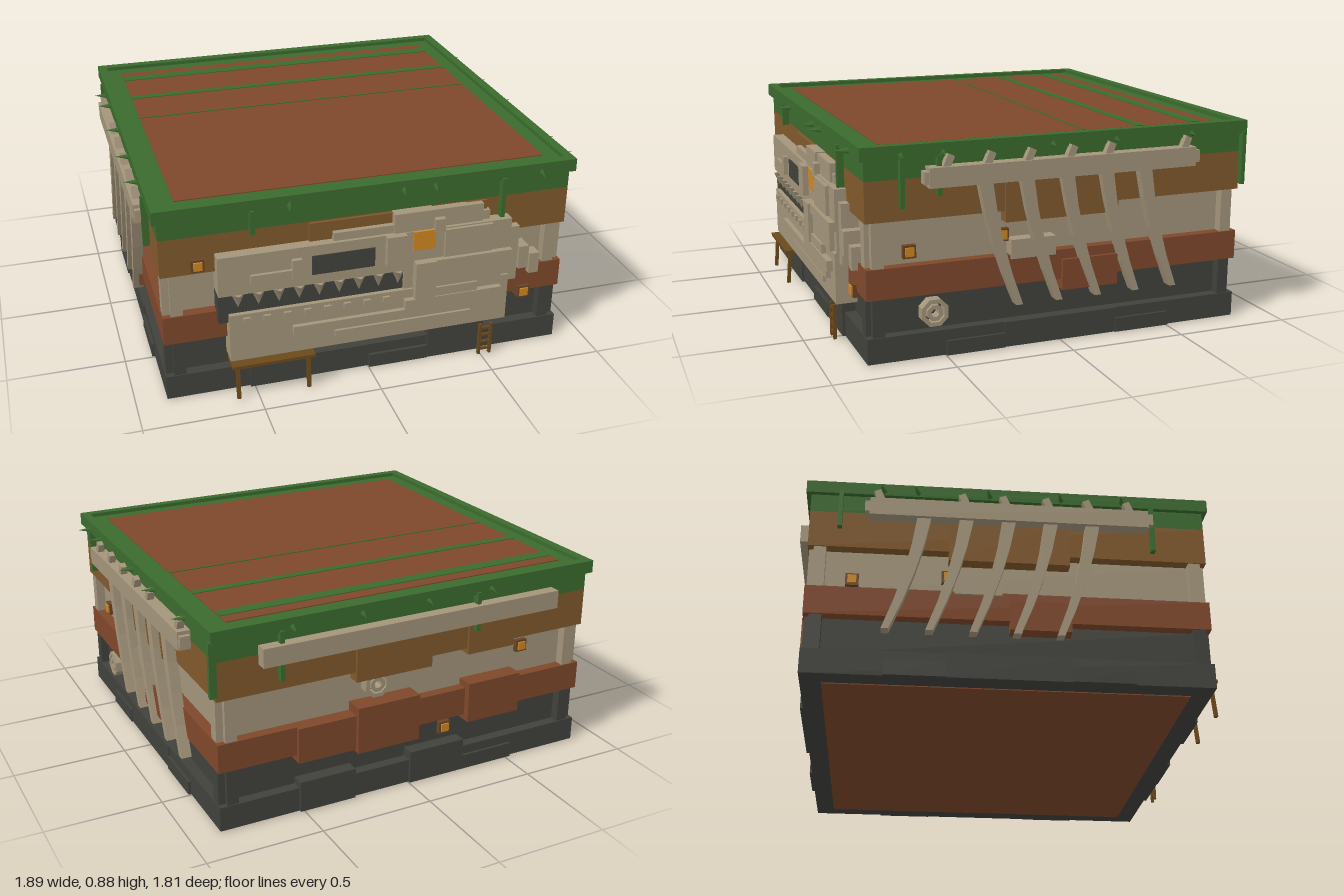
import * as THREE from 'three';

const mat = (name, color) => {
  const m = new THREE.MeshStandardMaterial({ color });
  m.name = name;
  return m;
};

export function createModel() {
  const root = new THREE.Group();
  root.name = 'terrainBlock';
  const grass = mat('grass green', 0x3b6b2e), clay = mat('clay rust', 0x7f482b),
    soil = mat('soil ochre', 0x80592c), bone = mat('bone tan', 0xa3957b),
    rock = mat('bedrock grey', 0x41413c), amber = mat('amber', 0xd0871f),
    wood = mat('wood brown', 0x6b4a1c), rim = mat('amber setting', 0x6a4526);

  const add = (parent, name, geo, m) => {
    const mesh = new THREE.Mesh(geo, m);
    mesh.name = name;
    parent.add(mesh);
    return mesh;
  };
  // Box given by its lower and upper limits on each axis
  const box = (name, m, x0, x1, y0, y1, z0, z1, parent = root) => {
    const b = add(parent, name, new THREE.BoxGeometry(x1 - x0, y1 - y0, z1 - z0), m);
    b.position.set((x0 + x1) / 2, (y0 + y1) / 2, (z0 + z1) / 2);
    return b;
  };
  const slab = (name, m, hx, hz, y0, y1) => box(name, m, -hx, hx, y0, y1, -hz, hz);
  // Groups whose local +z points out of one side of the block
  const side = (name, angle) => {
    const g = new THREE.Group();
    g.name = name;
    g.rotation.y = angle;
    root.add(g);
    return g;
  };
  const front = side('frontSide', 0), back = side('backSide', Math.PI);
  const left = side('leftSide', Math.PI / 2), right = side('rightSide', -Math.PI / 2);

  // Strata: wide bands alternate with recessed walls
  slab('earthCore', clay, 0.785, 0.74, 0, 0.862);
  slab('bedrockPlinth', rock, 0.87, 0.825, 0.004, 0.11);
  slab('bedrockWall', rock, 0.825, 0.78, 0.11, 0.265);
  slab('clayBand', clay, 0.87, 0.825, 0.265, 0.39);
  slab('sandWall', bone, 0.825, 0.78, 0.39, 0.575);
  slab('soilBand', soil, 0.87, 0.825, 0.575, 0.74);
  slab('turf', grass, 0.87, 0.825, 0.74, 0.82);
  slab('turfTop', grass, 0.89, 0.845, 0.82, 0.858);
  for (const s of [-1, 1]) {
    box('turfRimSide', grass, s * 0.87 - 0.02, s * 0.87 + 0.02, 0.855, 0.875, -0.845, 0.845);
    box('turfRimEnd', grass, -0.89, 0.89, 0.855, 0.875, s * 0.825 - 0.02, s * 0.825 + 0.02);
    // Stepped corner posts in the recesses
    for (const t of [-1, 1]) for (const [m, y0, y1] of [[rock, 0.11, 0.265], [bone, 0.39, 0.575]]) {
      box('cornerPostSide', m, s * 0.83 - 0.035, s * 0.83 + 0.035, y0, y1, t * 0.775 - 0.025, t * 0.775 + 0.025);
      box('cornerPostEnd', m, s * 0.81 - 0.025, s * 0.81 + 0.025, y0, y1, t * 0.785 - 0.035, t * 0.785 + 0.035);
    }
  }
  // Grass strips over the bare earth
  for (const [z0, z1] of [[-0.68, -0.625], [-0.41, -0.375], [-0.135, -0.128]])
    box('grassStrip', grass, -0.785, 0.785, 0.86, 0.865, z0, z1);

  // Uneven blocks standing out of the bands: [side, face, x0, x1, y0, y1, out]
  const chunks = (g, face, m, name, list) => list.forEach(([x0, x1, y0, y1, out]) =>
    box(name, m, x0, x1, y0, y1, face - 0.05, face + out, g));
  chunks(front, 0.825, rock, 'bedrockChunk', [[-0.52, -0.265, 0.004, 0.15, 0.012], [0.265, 0.52, 0.004, 0.15, 0.012],
    [0, 0.265, 0.004, 0.065, 0.015]]);
  chunks(back, 0.825, rock, 'bedrockChunk', [[-0.52, -0.265, 0.004, 0.14, 0.012], [0, 0.265, 0.004, 0.15, 0.012],
    [0.265, 0.52, 0.004, 0.07, 0.012]]);
  chunks(back, 0.825, clay, 'clayChunk', [[-0.53, -0.27, 0.235, 0.39, 0.02], [-0.27, 0.02, 0.225, 0.43, 0.04],
    [0.27, 0.53, 0.24, 0.42, 0.03]]);
  for (const f of [front, back]) chunks(f, 0.825, soil, 'soilChunk', [[-0.265, 0.09, 0.535, 0.735, 0.012], [0.27, 0.5, 0.55, 0.735, 0.01]]);
  for (const g of [left, right]) {
    chunks(g, 0.87, rock, 'bedrockChunk', [[-0.5, -0.25, 0.004, 0.065, 0.012], [0.25, 0.5, 0.004, 0.065, 0.012],
      [-0.25, 0.25, 0.004, 0.11, 0.006]]);
    chunks(g, 0.87, clay, 'clayChunk', [[0, 0.25, 0.22, 0.35, 0.015]]);
    chunks(g, 0.87, soil, 'soilChunk', [[-0.25, 0.25, 0.53, 0.735, 0.01]]);
    box('fossilSlab', bone, -0.225, -0.03, 0.375, 0.455, 0.8, 0.88, g);
  }

  // Rib cages on both long sides
  const ribGeometry = () => {
    const pts = (w, dir) => [0, 0.25, 0.5, 0.75, 1].map(t => [
      0.345 - 0.2 * t * t * 0.35 - 0.075 * t + dir * (w - 0.014 * t), 0.71 - 0.52 * t]);
    const shape = new THREE.Shape([...pts(0.029, 1), ...pts(0.029, -1).reverse()].map(p => new THREE.Vector2(...p)));
    return new THREE.ExtrudeGeometry(shape, { depth: 0.045, bevelEnabled: false });
  };
  for (const s of [-1, 1]) {
    const cage = new THREE.Group();
    cage.name = s > 0 ? 'leftRibCage' : 'rightRibCage';
    root.add(cage);
    box('spine', bone, s * 0.895 - 0.03, s * 0.895 + 0.03, 0.705, 0.785, -0.58, 0.58, cage);
    for (const e of [-1, 1])
      box('spineEnd', bone, s * 0.9 - 0.022, s * 0.9 + 0.022, 0.72, 0.77, e * 0.585 - 0.015, e * 0.585 + 0.015, cage);
    for (let i = 0; i < 5; i++) {
      const rib = add(cage, 'rib', ribGeometry(), bone);
      rib.rotation.y = -Math.PI / 2;
      rib.position.set(s > 0 ? 0.91 : -0.865, 0, -0.175 * i);
    }
    for (const z of [0.5, 0.33, 0.16, -0.02, -0.19, -0.54]) {
      const spur = box('spineSpur', bone, s * 0.9 - 0.015, s * 0.9 + 0.015, 0.77, 0.83, z - 0.015, z + 0.015, cage);
      spur.rotation.x = -0.4;
    }
  }
  // Long bone on the back
  box('backBone', bone, -0.69, 0.69, 0.7, 0.78, 0.82, 0.875, back);

  // Skull relief on the front: [x0, x1, y0, y1, front z]
  const skull = new THREE.Group();
  skull.name = 'skullFossil';
  root.add(skull);
  const relief = (name, m, list) => list.forEach(([x0, x1, y0, y1, z]) =>
    box(name, m, x0, x1, y0, y1, 0.79, z, skull));
  relief('upperSkull', bone, [[-0.65, 0.6, 0.48, 0.655, 0.875]]);
  relief('mouth', rock, [[-0.65, 0.14, 0.35, 0.48, 0.86]]);
  relief('lowerJaw', bone, [[-0.61, 0.6, 0.175, 0.39, 0.88]]);
  relief('skullBack', bone, [[0.13, 0.6, 0.38, 0.49, 0.87]]);
  relief('browPlate', bone, [[-0.17, 0.085, 0.655, 0.69, 0.86], [0.085, 0.255, 0.64, 0.74, 0.87],
    [0.255, 0.475, 0.64, 0.735, 0.86], [0.255, 0.3, 0.64, 0.7, 0.885], [0.475, 0.51, 0.64, 0.695, 0.85]]);
  relief('snoutPlate', bone, [[-0.52, -0.35, 0.525, 0.565, 0.89], [-0.35, -0.31, 0.525, 0.61, 0.895],
    [0.045, 0.13, 0.525, 0.655, 0.9]]);
  relief('cheekPlate', bone, [[0.3, 0.51, 0.525, 0.65, 0.89], [0.17, 0.56, 0.39, 0.52, 0.89],
    [0.17, 0.26, 0.35, 0.52, 0.91], [0.26, 0.6, 0.48, 0.52, 0.9], [0.26, 0.45, 0.35, 0.39, 0.9]]);
  relief('jawPlate', bone, [[0.13, 0.56, 0.305, 0.35, 0.905], [-0.35, 0.52, 0.265, 0.305, 0.9],
    [-0.17, 0.43, 0.22, 0.25, 0.892]]);
  relief('neckBone', bone, [[0.6, 0.645, 0.35, 0.605, 0.86], [0.65, 0.695, 0.4, 0.505, 0.865],
    [0.71, 0.755, 0.36, 0.455, 0.85]]);
  relief('eyeSocket', rock, [[-0.265, 0, 0.525, 0.61, 0.88]]);
  relief('eyeAmber', amber, [[0.165, 0.26, 0.57, 0.655, 0.882]]);
  for (let i = 0; i < 9; i++) {
    const x = -0.57 + i * 0.0845;
    const tooth = add(skull, 'upperTooth', new THREE.ConeGeometry(0.026, 0.06, 4), bone);
    tooth.rotation.x = Math.PI;
    tooth.position.set(x, 0.45, 0.868);
    if (i < 8) box('lowerTooth', bone, x + 0.015, x + 0.045, 0.35, 0.375, 0.87, 0.892, skull);
  }

  // Coiled shell fossils: octagonal rings round a boss
  const shell = (g, x, y, face) => {
    const coil = new THREE.Group();
    coil.name = 'shellFossil';
    coil.position.set(x, y, face);
    g.add(coil);
    for (const r of [0.05, 0.025]) {
      const ring = new THREE.Shape(), hole = new THREE.Path();
      for (let i = 0; i < 8; i++) {
        const a = (i + 0.5) * Math.PI / 4, go = i ? 'lineTo' : 'moveTo';
        ring[go](Math.cos(a) * (r + 0.01), Math.sin(a) * (r + 0.01));
        hole[go](Math.cos(a) * (r - 0.008), Math.sin(a) * (r - 0.008));
      }
      ring.holes.push(hole);
      add(coil, 'shellRing', new THREE.ExtrudeGeometry(ring, { depth: 0.05, bevelEnabled: false }), bone);
    }
  };
  shell(left, -0.545, 0.185, 0.82);
  shell(back, -0.16, 0.5, 0.775);

  // Amber pieces in square settings
  const gem = (g, x, y, face) => {
    box('amberSetting', rim, x - 0.027, x + 0.027, y - 0.027, y + 0.027, face - 0.05, face + 0.015, g);
    box('amberPiece', amber, x - 0.018, x + 0.018, y - 0.018, y + 0.018, face - 0.05, face + 0.022, g);
  };
  gem(front, -0.72, 0.615, 0.825);
  gem(front, 0.7, 0.265, 0.825);
  gem(back, 0.57, 0.52, 0.785);
  gem(back, 0.19, 0.21, 0.785);
  for (const g of [left, right]) {
    gem(g, -0.64, 0.44, 0.83);
    gem(g, -0.25, 0.47, 0.83);
  }

  // Dig platform and ladder
  box('platform', wood, -0.61, -0.26, 0.152, 0.166, 0.82, 0.912);
  for (const x of [-0.585, -0.285]) {
    const leg = box('platformLeg', wood, x - 0.008, x + 0.008, 0.002, 0.155, 0.885, 0.9);
    leg.rotation.x = -0.08;
  }
  for (const x of [0.49, 0.54]) box('ladderRail', wood, x - 0.006, x + 0.006, 0.005, 0.155, 0.868, 0.882);
  for (let i = 0; i < 4; i++) box('ladderRung', wood, 0.485, 0.545, 0.025 + i * 0.035, 0.035 + i * 0.035, 0.87, 0.88);

  // Hanging vines and grass blades around the rim
  const fringe = (g, face, vines, blades) => {
    vines.forEach(([x, y]) => box('vine', grass, x - 0.009, x + 0.009, y, 0.83, face - 0.025, face + 0.005, g));
    blades.forEach(x => {
      const blade = add(g, 'grassBlade', new THREE.ConeGeometry(0.013, 0.06, 4), grass);
      blade.rotation.set(Math.PI / 2, 0, 0.25);
      blade.position.set(x, 0.837, face + 0.022);
    });
  };
  fringe(front, 0.85, [[-0.5, 0.73], [0.565, 0.53]], [-0.355, 0.12, 0.255, 0.725]);
  fringe(back, 0.85, [[-0.6, 0.62], [0.3, 0.66]], [-0.56, -0.255, 0.05, 0.355]);
  fringe(left, 0.893, [[-0.68, 0.63], [-0.53, 0.67], [0.83, 0.6]], [-0.69, -0.52, -0.06, 0.22, 0.57]);
  fringe(right, 0.893, [[0.6, 0.61], [-0.7, 0.66]], [-0.53, -0.39, -0.09, 0.21, 0.47]);
  return root;
}
